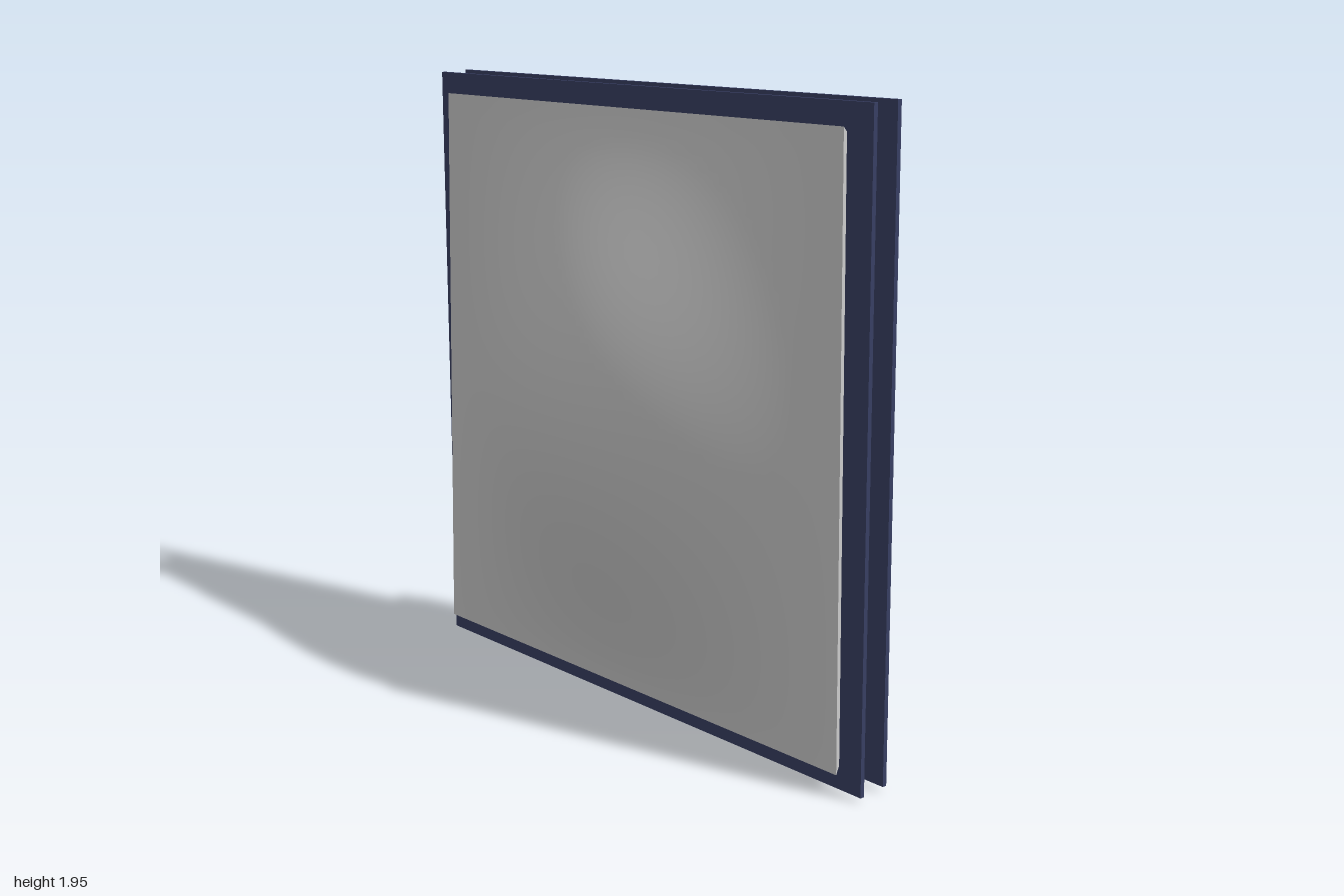
import * as THREE from 'three';

const grey = new THREE.MeshStandardMaterial({ color: 0xcccccc });
const navy = new THREE.MeshStandardMaterial({ color: 0x383f63 });

function add(parent, name, geometry, material, x = 0, y = 0, z = 0) {
  const mesh = new THREE.Mesh(geometry, material);
  mesh.name = name;
  mesh.position.set(x, y, z);
  parent.add(mesh);
  return mesh;
}

// Pillow-shaped shell: a subdivided box whose front and back swell into domes
function cushion() {
  const geometry = new THREE.BoxGeometry(2, 2, 2, 48, 48, 12);
  const p = geometry.attributes.position;
  const rim = [0.07, 0.085]; // rim depth at back and front
  const swell = [0.19, 0.23]; // dome height at back and front
  for (let i = 0; i < p.count; i++) {
    const u = p.getX(i), v = p.getY(i), w = p.getZ(i);
    const side = w > 0 ? 1 : 0;
    const dome = Math.pow(Math.max(0, Math.cos(u * Math.PI / 2) * Math.cos(v * Math.PI / 2)), 1.4);
    const onFace = Math.abs(w) > 0.999;
    let z = w * rim[side];
    if (onFace) z += Math.sign(w) * swell[side] * dome;
    // The sides pinch into a shallow groove between the plates
    const waist = 1 - 0.035 * Math.max(0, Math.cos(w * Math.PI / 2));
    const halfWidth = 0.92 - 0.015 * v;
    p.setXYZ(i, u * halfWidth * waist - 0.009 * (1 - v), v * 0.905 * waist, z);
  }
  geometry.computeVertexNormals();
  return geometry;
}

export function createModel() {
  const group = new THREE.Group();
  const body = new THREE.Group();
  body.name = 'body';
  body.position.y = 0.98;
  body.rotation.set(0, 0.041, 0.007);
  group.add(body);

  add(body, 'shell', cushion(), grey, 0, -0.005, 0);

  // Thin square flanges around the shell
  add(body, 'frontPlate', new THREE.BoxGeometry(1.965, 1.93, 0.014), navy, 0.003, 0, 0.05);
  add(body, 'backPlate', new THREE.BoxGeometry(1.965, 1.93, 0.014), navy, -0.006, 0.003, -0.05);

  // Round collar on the back
  const collar = new THREE.CylinderGeometry(0.443, 0.445, 0.18, 64);
  add(body, 'collar', collar, grey, -0.017, 0.015, -0.198).rotation.x = -Math.PI / 2;

  // Slightly domed cap over the collar
  const profile = [[0.425, 0], [0.425, 0.018], [0.425, 0.018], [0.3, 0.026], [0.15, 0.031], [0, 0.032]]
    .map(([r, h]) => new THREE.Vector2(r, h));
  add(body, 'cap', new THREE.LatheGeometry(profile, 64), navy, -0.017, 0.015, -0.285).rotation.x = -Math.PI / 2;

  return group;
}
